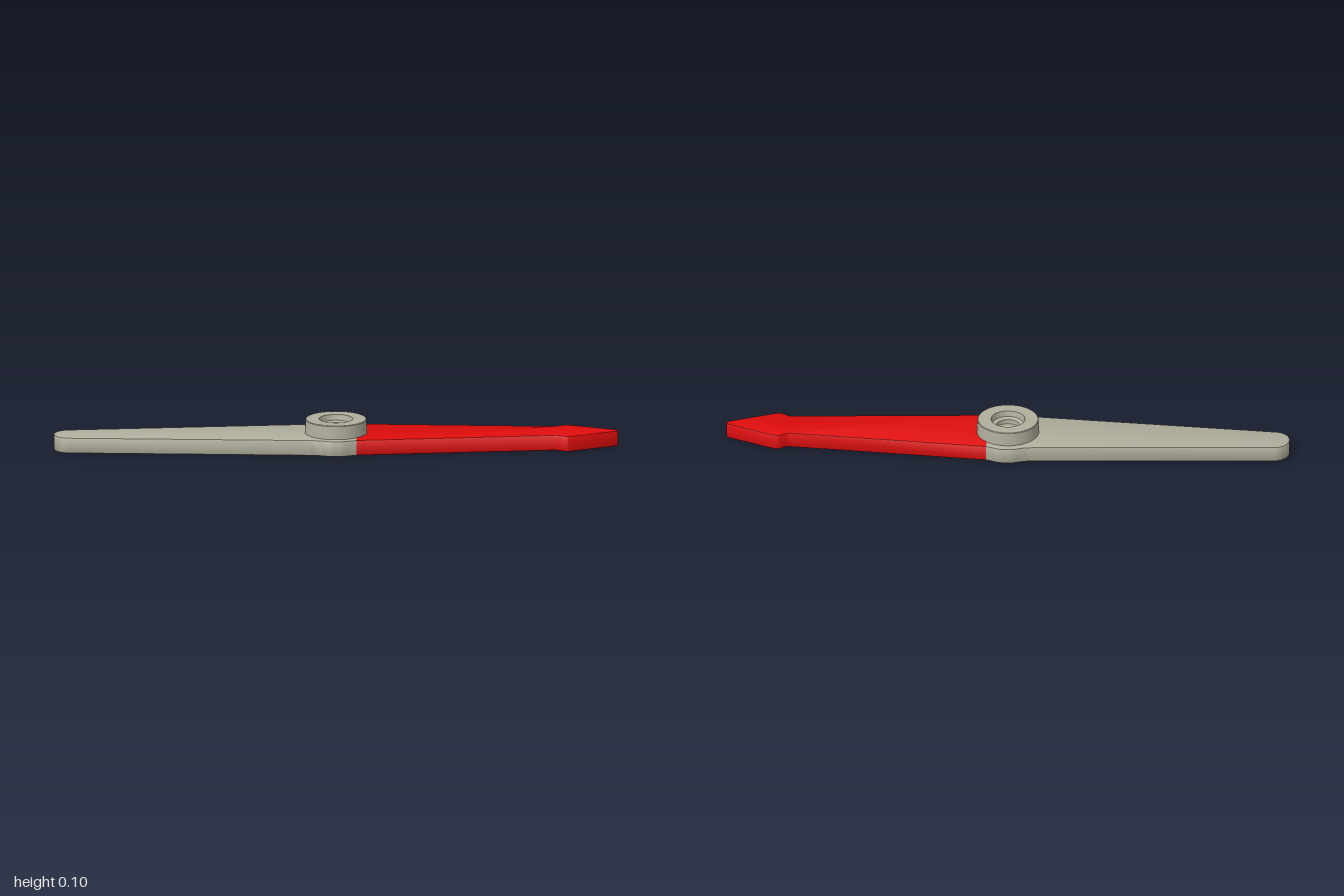
import * as THREE from 'three';
import { toCreasedNormals } from 'three/addons/utils/BufferGeometryUtils.js';

const HEIGHT = 0.056, SEAM = 0.07, BEVEL = 0.004;

// Outline mirrored across the long axis; points run along one edge
function mirroredShape(half) {
  const other = half.filter(p => p[1] > 0).map(([x, z]) => [x, -z]).reverse();
  return new THREE.Shape([...half, ...other].map(([x, z]) => new THREE.Vector2(x, z)));
}

// Flat plate standing on y = 0 with finely eased edges and a square end at the seam
function plate(half) {
  const geo = new THREE.ExtrudeGeometry(mirroredShape(half), {
    depth: HEIGHT - 2 * BEVEL, bevelEnabled: true, bevelThickness: BEVEL,
    bevelSize: BEVEL, bevelOffset: -BEVEL, bevelSegments: 2,
  });
  geo.rotateX(-Math.PI / 2).translate(0, BEVEL, 0);
  const pos = geo.attributes.position;
  for (let i = 0; i < pos.count; i++) {
    if (Math.abs(pos.getX(i) - SEAM) < 0.006) pos.setX(i, SEAM);
  }
  return toCreasedNormals(geo, 0.5);
}

export function createModel() {
  const group = new THREE.Group();
  const grey = new THREE.MeshStandardMaterial({ color: 0xb0ae9c });
  const red = new THREE.MeshStandardMaterial({ color: 0xe00c0c });
  const add = (name, geo, mat) => {
    const mesh = new THREE.Mesh(geo, mat);
    mesh.name = name;
    group.add(mesh);
  };

  // Tail: round bulge around the pivot, then a taper to a blunt rounded end
  const tail = [[SEAM, 0.12]];
  for (let i = 0; i <= 10; i++) {
    const x = 0.05 - i * 0.01;
    tail.push([x, 0.127 + 0.012 * (1 - (x / 0.05) ** 2)]);
  }
  tail.push([-0.075, 0.12], [-0.1, 0.117]);
  for (let i = 0; i <= 10; i++) {
    const a = (i / 10) * Math.PI / 2;
    tail.push([-0.945 - 0.055 * Math.sin(a), i === 10 ? 0 : 0.06 * Math.cos(a)]);
  }
  add('needleTail', plate(tail), grey);

  // Pointer: tapered bar ending in a barbed arrow head
  add('needlePointer', plate([
    [SEAM, 0.12], [0.77, 0.066], [0.782, 0.068], [0.805, 0.084], [0.82, 0.086],
    [0.835, 0.081], [0.99, 0.013], [0.998, 0.006], [1, 0],
  ]), red);

  // Pivot hub: slightly drafted ring with a stepped recess
  const hub = [
    [0.111, 0.05], [0.108, 0.103], [0.106, 0.105], [0.06, 0.105],
    [0.056, 0.085], [0.042, 0.08], [0.041, 0.064], [0, 0.064],
  ].map(([r, y]) => new THREE.Vector2(r, y));
  add('pivotHub', toCreasedNormals(new THREE.LatheGeometry(hub, 48).toNonIndexed(), 0.5), grey);

  return group;
}
